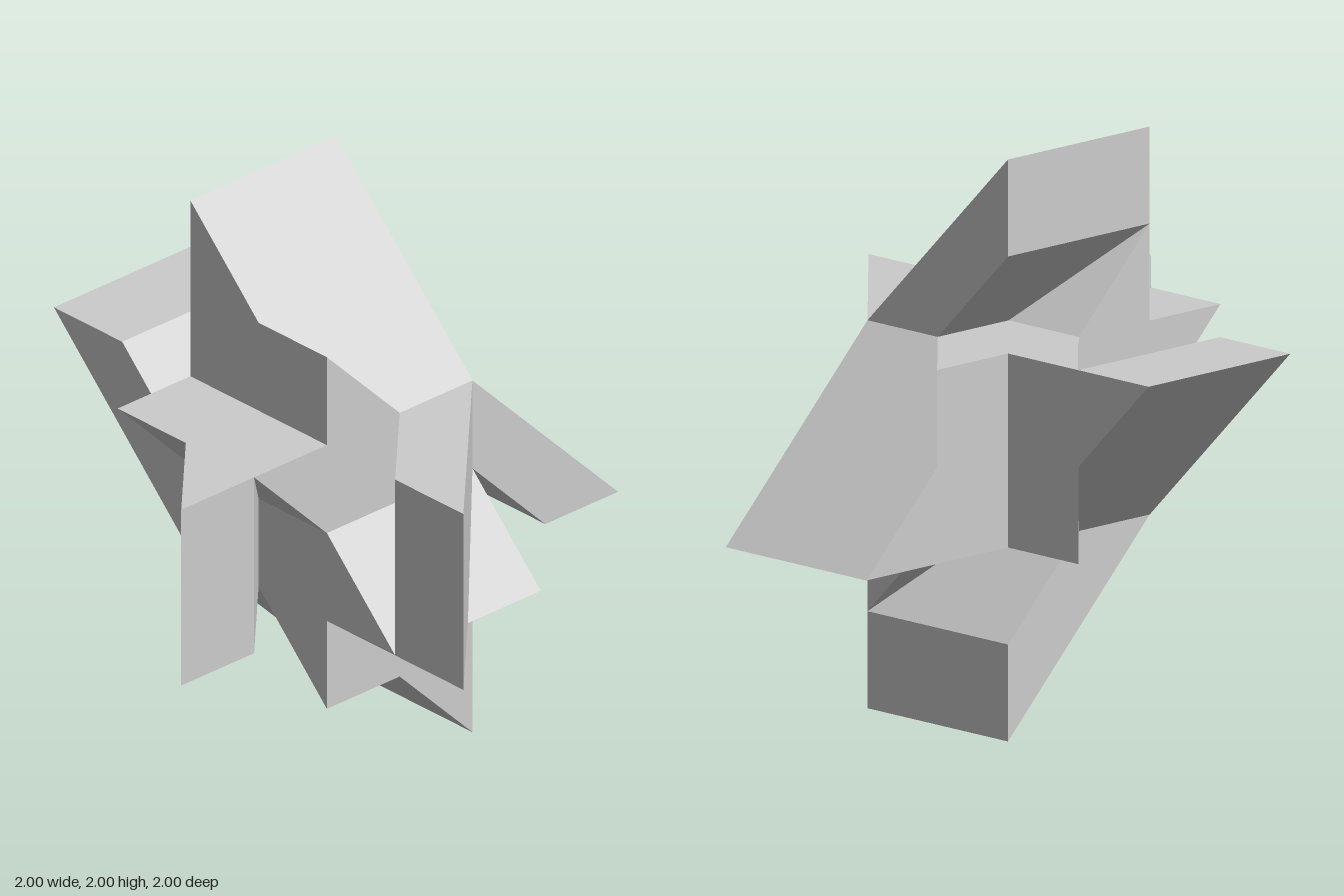
import * as THREE from 'three';

const U = 1 / 3; // half the width of the core cube
const X = new THREE.Vector3(1, 0, 0);
const Y = new THREE.Vector3(0, 1, 0);
const Z = new THREE.Vector3(0, 0, 1);

export function createModel() {
  const model = new THREE.Group();
  const material = new THREE.MeshStandardMaterial({ color: 0xcccccc, flatShading: true });

  const add = (geometry, name) => {
    geometry.translate(0, 1, 0);
    const mesh = new THREE.Mesh(geometry, material);
    mesh.name = name;
    model.add(mesh);
  };

  // Prism as wide as the core, its profile drawn in one of the three axis planes
  const prism = (profile, basis, name) => {
    const shape = new THREE.Shape(profile.map(([a, b]) => new THREE.Vector2(a * U, b * U)));
    const geometry = new THREE.ExtrudeGeometry(shape, { depth: 2 * U, bevelEnabled: false });
    geometry.translate(0, 0, -U);
    geometry.applyMatrix4(new THREE.Matrix4().makeBasis(...basis));
    add(geometry, name);
  };

  // Central cube
  add(new THREE.BoxGeometry(2 * U, 2 * U, 2 * U), 'core');

  // Slanted bars and wedges, in units of U
  const positiveBar = [[1, 1], [1, 0], [2, -1], [3, -1]];
  const negativeBar = [[1, -3], [1, -2], [0, -1], [-1, -1]];
  const positiveWedge = [[-1, 1], [0, 1], [-1, 2]];
  const negativeWedge = [[-2, 1], [-1, 0], [-1, 1]];

  // The same four profiles repeat in each plane, turning about the cube's diagonal
  const planes = [
    { basis: [X, Y, Z], names: ['leftBar', 'bottomBar', 'topWedge', 'rightWedge'] },
    { basis: [Y, Z, X], names: ['topBar', 'backBar', 'frontWedge', 'bottomWedge'] },
    { basis: [Z, X, Y], names: ['frontBar', 'rightBar', 'leftWedge', 'backWedge'] },
  ];
  for (const { basis, names } of planes) {
    [positiveBar, negativeBar, positiveWedge, negativeWedge].forEach((profile, i) => {
      prism(profile, basis, names[i]);
    });
  }
  return model;
}
